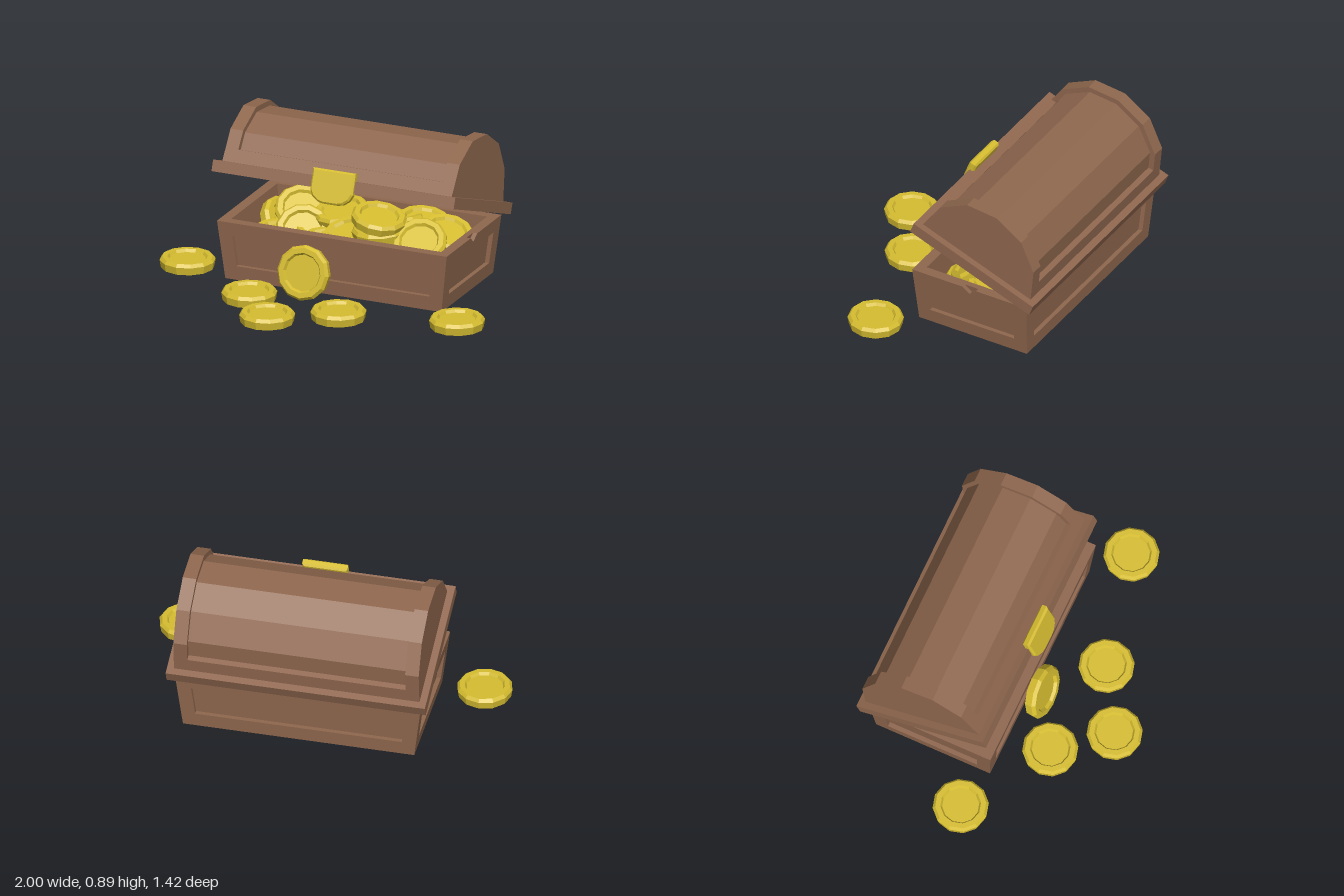
import * as THREE from 'three';

const wood = new THREE.MeshStandardMaterial({ color: 0x8f674e });
wood.name = 'brown wood';
const gold = new THREE.MeshStandardMaterial({ color: 0xd6bd30 });
gold.name = 'gold';

const CX = 0.037, CZ = -0.293;

function add(parent, name, geometry, material) {
  const mesh = new THREE.Mesh(geometry, material);
  mesh.name = name;
  parent.add(mesh);
  return mesh;
}

const polygon = (pts) => new THREE.Shape(pts.map(([x, y]) => new THREE.Vector2(x, y)));

function flat(geometry) {
  const g = geometry.index ? geometry.toNonIndexed() : geometry;
  g.computeVertexNormals();
  return g;
}

// Skin over rectangular rings given as [half width, half depth, height]
function loft(rings) {
  const corners = [[1, 1], [1, -1], [-1, -1], [-1, 1]];
  const pos = [], idx = [];
  for (const [hx, hz, y] of rings) for (const [sx, sz] of corners) pos.push(sx * hx, y, sz * hz);
  for (let i = 0; i < rings.length - 1; i++) {
    for (let k = 0; k < 4; k++) {
      const a = i * 4 + k, b = i * 4 + (k + 1) % 4;
      idx.push(a, b, b + 4, a, b + 4, a + 4);
    }
  }
  const g = new THREE.BufferGeometry();
  g.setAttribute('position', new THREE.Float32BufferAttribute(pos, 3));
  g.setIndex(idx);
  return flat(g);
}

// Leaning wall frame with a panel opening and an optional nick in its top edge
function wallFrame(bottom, top, panelBottom, panelTop, outBottom, outTop, nick) {
  const outline = [[-bottom, 0.02], [bottom, 0.02], [top, 0.35]];
  if (nick) outline.push([0.042, 0.35], [0, 0.315], [-0.042, 0.35]);
  outline.push([-top, 0.35]);
  const shape = polygon(outline);
  shape.holes.push(polygon([[-panelBottom, 0.1], [-panelTop, 0.275], [panelTop, 0.275], [panelBottom, 0.1]]));
  const g = new THREE.ExtrudeGeometry(shape, { depth: 0.025, bevelEnabled: false });
  const p = g.attributes.position;
  for (let i = 0; i < p.count; i++) {
    const t = (p.getY(i) - 0.02) / 0.33;
    p.setZ(i, p.getZ(i) - 0.025 + outBottom + (outTop - outBottom) * t);
  }
  return flat(g);
}

function makeBase() {
  const base = new THREE.Group();
  base.name = 'base';
  base.position.set(CX, 0, CZ);
  // Hollow box, with its outer faces at the depth of the sunken panels
  add(base, 'boxShell', loft([
    [0, 0, 0.02], [0.613, 0.312, 0.02], [0.653, 0.332, 0.35],
    [0.62, 0.3, 0.35], [0.585, 0.284, 0.06], [0, 0, 0.06],
  ]), wood);
  for (let i = 0; i < 4; i++) {
    const g = i % 2
      ? wallFrame(0.337, 0.357, 0.263, 0.273, 0.638, 0.678, i === 1)
      : wallFrame(0.638, 0.678, 0.57, 0.59, 0.337, 0.357, false);
    add(base, ['frontFrame', 'leftFrame', 'backFrame', 'rightFrame'][i], g, wood).rotation.y = i * Math.PI / 2;
  }
  return base;
}

// Faceted dome section, inset by i
function dome(i) {
  const half = [[0.36 - i, 0.06], [0.312 - i, 0.24 - 0.3 * i], [0.181 - 0.6 * i, 0.372 - 0.85 * i]];
  return [...half, [0, 0.417 - i], ...half.map(([x, y]) => [-x, y]).reverse()];
}

// Section extruded along x between two positions
function alongX(pts, x0, x1) {
  const g = new THREE.ExtrudeGeometry(polygon(pts), { depth: x1 - x0, bevelEnabled: false });
  return g.rotateY(Math.PI / 2).translate(x0, 0, 0.398);
}

function makeLid() {
  const lid = new THREE.Group();
  lid.name = 'lid';
  lid.position.set(CX, 0.345, -0.69);
  lid.rotation.x = -0.36;

  // Rim frame
  const rect = (w, d) => [[-w, -d], [w, -d], [w, d], [-w, d]];
  const rim = polygon(rect(0.715, 0.398));
  rim.holes.push(polygon(rect(0.625, 0.308)));
  add(lid, 'lidRim', new THREE.ExtrudeGeometry(rim, { depth: 0.063, bevelEnabled: false })
    .rotateX(-Math.PI / 2).translate(0, 0, 0.398), wood);

  // Dome shell, raised end bands and lower strips
  add(lid, 'lidDome', alongX([...dome(0.03), ...dome(0.055).reverse()], -0.61, 0.61), wood);
  for (const s of [-1, 1]) {
    add(lid, 'lidEnd', s < 0 ? alongX(dome(0), -0.677, -0.602) : alongX(dome(0), 0.602, 0.677), wood);
    add(lid, 'lidStrip', alongX(
      [[0.36 * s, 0.06], [0.34 * s, 0.135], [0.3 * s, 0.135], [0.32 * s, 0.06]], -0.605, 0.605), wood);
  }

  // Latch plate
  const latch = polygon([[-0.115, 0.097], [-0.115, -0.01], [-0.1, -0.04], [-0.07, -0.062],
    [-0.04, -0.069], [0.04, -0.069], [0.07, -0.062], [0.1, -0.04], [0.115, -0.01], [0.115, 0.097]]);
  add(lid, 'latch', new THREE.ExtrudeGeometry(latch,
    { depth: 0.026, bevelThickness: 0.01, bevelSize: 0.01, bevelSegments: 1 }).translate(0, 0, 0.78), gold);
  return lid;
}

function makeCoins() {
  const coins = new THREE.Group();
  coins.name = 'coins';
  const profile = [[0, -0.03], [0.145, -0.03], [0.152, 0.012], [0.138, 0.03], [0.11, 0.03], [0.1, 0.014], [0, 0.014]];
  const geometry = flat(new THREE.LatheGeometry(profile.map(([r, y]) => new THREE.Vector2(r, y)), 12));
  const place = (name, [x, y, z, rx = 0, rz = 0]) => {
    const coin = add(coins, name, geometry, gold);
    coin.position.set(x, y, z);
    coin.rotation.set(rx, 0, rz);
  };
  // Coins on the ground
  [[-0.85, 0.06, -0.015], [-0.35, 0.05, 0.285], [0.21, 0.05, 0.36], [-0.12, 0.05, 0.56], [0.845, 0.05, 0.215]]
    .forEach((c) => place('looseCoin', c));
  place('leaningCoin', [-0.1, 0.155, 0.125, 1.32]);
  // Heap showing at the top of the chest
  [[0.2, 0.405, -0.19, 0.1, -0.2], [0.45, 0.31, -0.17, 0.65, -0.1], [0.53, 0.32, -0.34, 0.2, -0.25],
    [0.03, 0.29, -0.15, 0.4, 0.15], [-0.12, 0.32, -0.41, 0.2, 0.1], [-0.28, 0.24, -0.26, 0.8, -0.2],
    [-0.46, 0.21, -0.4, 0.2, -0.95], [0.2, 0.32, -0.43, -0.15, 0.1], [0.36, 0.33, -0.42, 0.1, -0.15],
    [-0.36, 0.29, -0.43, 0.6, -0.3], [0.2, 0.33, -0.2, 0.05, 0.05]]
    .forEach((c) => place('heapCoin', c));
  // Layers underneath
  for (let layer = 0; layer < 3; layer++) {
    for (let i = 0; i < 4; i++) {
      for (const z of [-0.17, -0.43]) {
        place('buriedCoin', [-0.38 + i * 0.28, 0.1 + layer * 0.065, z, 0.08 * (layer - 1), 0.06 * (i - 1.5)]);
      }
    }
  }
  return coins;
}

export function createModel() {
  const model = new THREE.Group();
  model.name = 'treasureChest';
  model.add(makeBase(), makeLid(), makeCoins());
  return model;
}
